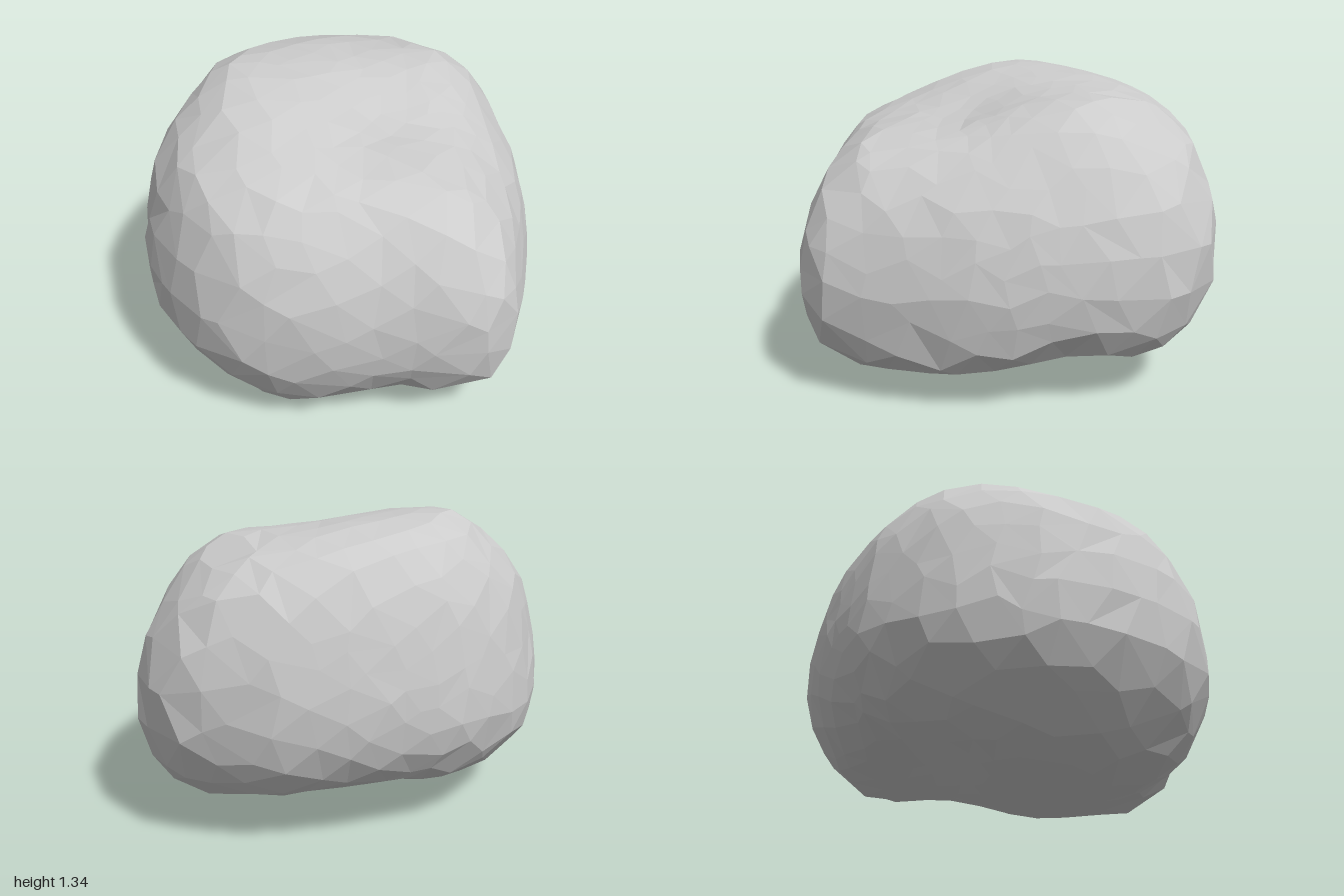
import * as THREE from 'three';

// Plan outline of the boulder at its widest, as x, z
const PLAN = [
  [0.1, -1], [0.27, -0.97], [0.44, -0.88], [0.6, -0.65], [0.74, -0.38], [0.82, -0.15], [0.87, 0.15],
  [0.9, 0.45], [0.88, 0.54], [0.8, 0.64], [0.7, 0.7], [0.5, 0.77], [0.3, 0.88], [0.1, 0.96], [-0.1, 1],
  [-0.27, 0.98], [-0.43, 0.91], [-0.63, 0.77], [-0.8, 0.55], [-0.88, 0.3], [-0.9, 0.13], [-0.87, -0.05],
  [-0.8, -0.28], [-0.6, -0.57], [-0.46, -0.72], [-0.24, -0.89],
];

// Horizontal sections: y, min x, max x, min z, max z
const SECTIONS = [
  [0, -0.1, 0.05, 0.4, 0.56],
  [0.015, -0.3, 0.2, 0.25, 0.64],
  [0.05, -0.43, 0.42, -0.05, 0.73],
  [0.11, -0.6, 0.71, -0.4, 0.83],
  [0.18, -0.7, 0.82, -0.76, 0.88],
  [0.26, -0.8, 0.87, -0.87, 0.93],
  [0.38, -0.88, 0.89, -0.95, 0.99],
  [0.52, -0.905, 0.905, -0.985, 1],
  [0.68, -0.89, 0.875, -1, 1],
  [0.85, -0.855, 0.82, -0.96, 0.95],
  [1.0, -0.82, 0.7, -0.89, 0.88],
  [1.1, -0.77, 0.57, -0.82, 0.8],
  [1.2, -0.7, 0.38, -0.69, 0.6],
  [1.27, -0.65, 0.14, -0.47, 0.46],
  [1.31, -0.58, -0.06, -0.28, 0.34],
  [1.335, -0.52, -0.3, -0.02, 0.24],
  [1.34, -0.5, -0.36, 0.06, 0.22],
];

// Hollows and swellings: centre, radius, push
const DENTS = [
  { at: [0.22, 1.2, 0.22], radius: 0.27, push: [-0.02, -0.09, -0.01] }, // step across the top
  { at: [0.3, 1.15, -0.45], radius: 0.3, push: [0.03, 0.07, -0.03] }, // shoulder behind it
  { at: [0.42, 0.16, -0.42], radius: 0.22, push: [-0.05, 0.09, 0.05] }, // notch underneath
  { at: [-0.3, 0.1, -0.35], radius: 0.38, push: [0.02, 0.06, 0.02] }, // raised back of the underside
  { at: [0.4, 0.08, 0.6], radius: 0.28, push: [-0.03, 0.045, -0.03] }, // raised front edge
].map(({ at, radius, push }) => ({
  at: new THREE.Vector3(...at), radius, push: new THREE.Vector3(...push),
}));

const CENTRE = new THREE.Vector3(0, 0.65, 0);

// Is x, z within the plan outline? (even-odd rule)
function inPlan(x, z) {
  let inside = false;
  PLAN.forEach(([ax, az], i) => {
    const [bx, bz] = PLAN[(i + 1) % PLAN.length];
    if (az > z !== bz > z && x < ax + ((z - az) / (bz - az)) * (bx - ax)) inside = !inside;
  });
  return inside;
}

// Is a point within the plan outline fitted to the section at its height?
function inBody(p) {
  const i = SECTIONS.findIndex((s) => s[0] > p.y);
  if (i < 1) return false;
  const lo = SECTIONS[i - 1], hi = SECTIONS[i];
  const t = (p.y - lo[0]) / (hi[0] - lo[0]);
  const [, x0, x1, z0, z1] = lo.map((v, k) => THREE.MathUtils.lerp(v, hi[k], t));
  return inPlan(
    THREE.MathUtils.mapLinear(p.x, x0, x1, -0.9, 0.9),
    THREE.MathUtils.mapLinear(p.z, z0, z1, -1, 1),
  );
}

// Distance from the centre to the surface, found by halving
function reach(dir) {
  let near = 0, far = 1.6;
  for (let n = 0; n < 18; n++) {
    const mid = (near + far) / 2;
    if (inBody(CENTRE.clone().addScaledVector(dir, mid))) near = mid;
    else far = mid;
  }
  return near;
}

// Uneven the facets by a rule that depends only on direction
function unevenDirection(d) {
  const shift = new THREE.Vector3(
    Math.sin(17 * d.y + 11 * d.z), Math.sin(19 * d.z + 13 * d.x), Math.sin(15 * d.x + 16 * d.y));
  return d.clone().addScaledVector(shift, 0.045).normalize();
}

function surfacePoint(d) {
  const dir = unevenDirection(d);
  const p = CENTRE.clone().addScaledVector(dir, reach(dir) * 1.006);
  const out = p.clone();
  for (const { at, radius, push } of DENTS) {
    out.addScaledVector(push, Math.exp(-p.distanceToSquared(at) / (radius * radius)));
  }
  out.y = Math.max(out.y, 0);
  return out;
}

export function createModel() {
  const geometry = new THREE.IcosahedronGeometry(1, 6);
  const position = geometry.attributes.position;
  const v = new THREE.Vector3();
  for (let i = 0; i < position.count; i++) {
    v.fromBufferAttribute(position, i);
    const p = surfacePoint(v);
    position.setXYZ(i, p.x, p.y, p.z);
  }
  geometry.computeVertexNormals();

  const boulder = new THREE.Mesh(
    geometry,
    new THREE.MeshStandardMaterial({ color: 0xcccccc, flatShading: true }),
  );
  boulder.name = 'boulder';
  const group = new THREE.Group();
  group.name = 'rock';
  group.add(boulder);
  return group;
}
